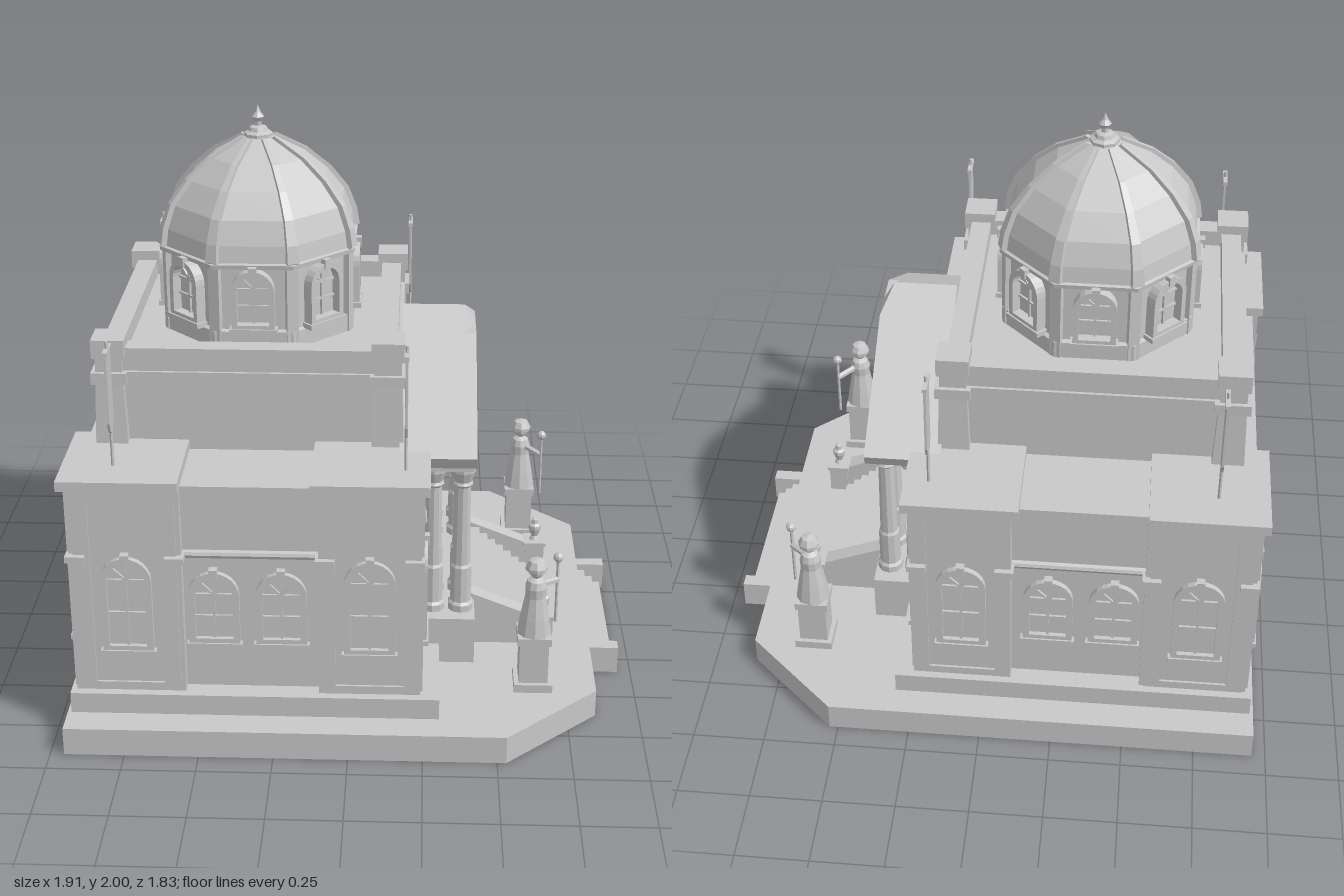
import * as THREE from 'three';

const stone = new THREE.MeshStandardMaterial({ color: 0xc8c8c8 });
stone.name = 'stone';

// faceted mesh helper
function add(parent, name, geo) {
  const g = geo.index ? geo.toNonIndexed() : geo;
  g.computeVertexNormals();
  const m = new THREE.Mesh(g, stone);
  m.name = name;
  parent.add(m);
  return m;
}
function box(parent, name, x0, x1, y0, y1, z0, z1) {
  const g = new THREE.BoxGeometry(x1 - x0, y1 - y0, z1 - z0);
  return add(parent, name, g.translate((x0 + x1) / 2, (y0 + y1) / 2, (z0 + z1) / 2));
}
const vecs = points => points.map(([x, y]) => new THREE.Vector2(x, y));
function poly(points, hole) {
  const s = new THREE.Shape(vecs(points));
  if (hole) s.holes.push(new THREE.Path(vecs(hole)));
  return s;
}
const extrude = (shape, depth) => new THREE.ExtrudeGeometry(shape, { depth, bevelEnabled: false, curveSegments: 6 });
function lathe(parent, name, pts, sides, x, y, z) {
  return add(parent, name, new THREE.LatheGeometry(vecs(pts), sides).translate(x, y, z));
}
// round-headed outline standing on y = 0
function archShape(w, h, base = 0, Kind = THREE.Shape) {
  const s = new Kind();
  s.moveTo(-w / 2, base);
  s.lineTo(w / 2, base);
  s.lineTo(w / 2, h - w / 2);
  s.absarc(0, h - w / 2, w / 2, 0, Math.PI, false);
  s.lineTo(-w / 2, base);
  return s;
}
// arched window facing +z, with surround, glazing bars, sill and keystone
function archWindow(name, w, h, depth = 0.02) {
  const g = new THREE.Group(), t = w * 0.13;
  g.name = name;
  const frame = archShape(w, h);
  frame.holes.push(archShape(w - 2 * t, h - t, t, THREE.Path));
  add(g, 'surround', extrude(frame, depth));
  add(g, 'pane', extrude(archShape(w - t, h - t / 2, t / 2), 0.004));
  const spring = h - w / 2, b = 0.004;
  box(g, 'mullion', -b, b, t, h - t, 0, 0.012);
  for (const y of [spring, (spring + t) / 2]) box(g, 'transom', -w / 2 + t, w / 2 - t, y - b, y + b, 0, 0.012);
  for (const s of [-1, 1]) {
    const bar = add(g, 'fanBar', new THREE.BoxGeometry(2 * b, w / 2 - t, 0.012).translate(0, (w / 2 - t) / 2, 0.006));
    bar.position.y = spring;
    bar.rotation.z = s * Math.PI / 4;
  }
  box(g, 'sill', -w / 2 - 0.008, w / 2 + 0.008, -0.012, 0.006, 0, depth + 0.006);
  box(g, 'keystone', -0.014, 0.014, h - t, h + 0.014, 0, depth + 0.006);
  return g;
}
function place(parent, obj, x, y, z, ry = 0) {
  obj.position.set(x, y, z);
  obj.rotation.y = ry;
  parent.add(obj);
}
// disc with a raised ring, facing +x
function medallion(parent, x, y, z) {
  const g = new THREE.Group();
  g.name = 'medallion';
  add(g, 'ring', new THREE.TorusGeometry(0.074, 0.005, 4, 20));
  add(g, 'disc', new THREE.CylinderGeometry(0.072, 0.072, 0.01, 20).rotateX(Math.PI / 2));
  add(g, 'relief', new THREE.ConeGeometry(0.028, 0.07, 5).scale(1, 1, 0.3).translate(0, -0.015, 0.005));
  place(parent, g, x, y, z, Math.PI / 2);
}

function buildTerrace(root) {
  // hollow underneath: thin skirt walls carrying a slab
  const plan = [[-0.953, -0.917], [0.53, -0.917], [0.85, -0.62], [0.85, 0.62], [0.53, 0.917], [-0.953, 0.917]];
  const inner = [[-0.943, -0.907], [0.526, -0.907], [0.84, -0.616], [0.84, 0.616], [0.526, 0.907], [-0.943, 0.907]];
  add(root, 'terraceSkirt', extrude(poly(plan, inner), 0.09).rotateX(-Math.PI / 2));
  add(root, 'terraceSlab', extrude(poly(plan), 0.01).rotateX(-Math.PI / 2).translate(0, 0.09, 0));
  for (let i = 0; i < 3; i++) box(root, 'terraceStep', 0.85, 0.94 - i * 0.03, i * 0.025, (i + 1) * 0.025, -0.29, 0.29);
  for (const s of [-1, 1]) box(root, 'stepWall', 0.85, 0.953, 0, 0.1, s * 0.31 - 0.025, s * 0.31 + 0.025);
  box(root, 'plinth', -0.94, 0.305, 0.1, 0.175, -0.815, 0.815);
}

function buildWings(root) {
  box(root, 'mainBody', -0.9, 0.22, 0.175, 0.93, -0.745, 0.745);
  box(root, 'backFrieze', -0.907, -0.88, 0.82, 0.93, -0.43, 0.43);
  add(root, 'backMoulding', new THREE.CylinderGeometry(0.015, 0.015, 0.86, 8).rotateX(Math.PI / 2).translate(-0.903, 0.68, 0));
  for (const s of [-1, 1]) {
    const zs = (a, b) => (s > 0 ? [a, b] : [-b, -a]);
    const ry = s > 0 ? 0 : Math.PI;
    box(root, 'sideFrieze', -0.56, -0.1, 0.82, 0.93, ...zs(0.7, 0.757));
    add(root, 'sideMoulding', new THREE.CylinderGeometry(0.015, 0.015, 0.46, 8).rotateZ(Math.PI / 2).translate(-0.33, 0.68, s * 0.748));
    for (const x of [-0.45, -0.225]) place(root, archWindow('sideWindow', 0.17, 0.27), x, 0.345, s * 0.745, ry);
    for (const [x0, x1, front] of [[-0.92, -0.55, false], [-0.1, 0.24, true]]) {
      const mid = (x0 + x1) / 2, xe = front ? 0.24 : -0.92, re = front ? Math.PI / 2 : -Math.PI / 2;
      box(root, 'cornerBlock', x0, x1, 0.175, 0.93, ...zs(0.43, 0.785));
      box(root, 'cornerCornice', front ? -0.125 : -0.945, front ? 0.265 : -0.55, 0.93, 0.965, ...zs(0.42, 0.812));
      // raised borders leave a sunken panel round each window
      const border = poly([[-0.17, 0.18], [0.17, 0.18], [0.17, 0.925], [-0.17, 0.925]],
        [[-0.115, 0.21], [-0.115, 0.88], [0.115, 0.88], [0.115, 0.21]]);
      place(root, add(root, 'panelBorder', extrude(border, 0.008)), mid, 0, s * 0.785, ry);
      place(root, add(root, 'panelBorder', extrude(border, 0.008)), xe, 0, s * 0.6, re);
      place(root, archWindow('wingWindow', 0.17, 0.35), mid, 0.335, s * 0.785, ry);
      place(root, archWindow('endWindow', 0.17, 0.35), xe, 0.335, s * 0.62, re);
      // corner moulding knuckles
      for (const x of [x0, x1]) {
        const cx = x + (x === x0 ? 0.022 : -0.022);
        box(root, 'knuckle', cx - 0.032, cx + 0.032, 0.67, 0.692, ...zs(0.74, 0.812));
        box(root, 'knuckleDrop', cx - 0.024, cx + 0.024, 0.65, 0.67, ...zs(0.75, 0.802));
      }
      box(root, 'endKnuckle', xe - 0.015, xe + 0.015, 0.67, 0.692, ...zs(0.43, 0.49));
      // banner on a pole
      const bx = front ? 0.183 : -0.775, bz = s * 0.68;
      add(root, 'bannerPole', new THREE.CylinderGeometry(0.006, 0.006, 0.44, 6).translate(bx, 1.18, bz));
      box(root, 'bannerArm', bx - 0.008, bx + 0.008, 1.365, 1.378, bz - 0.045, bz + 0.045);
      const cloth = poly([[-0.042, 1.37], [-0.042, 1.13], [-0.03, 1.1], [0, 1.08], [0.03, 1.1], [0.042, 1.13], [0.042, 1.37]]);
      place(root, add(root, 'banner', extrude(cloth, 0.008)), bx - 0.004, 0, bz, Math.PI / 2);
    }
    place(root, archWindow('backWindow', 0.17, 0.3), -0.9, 0.345, s * 0.2, -Math.PI / 2);
    medallion(root, 0.243, 0.8, s * 0.62);
  }
}

function buildUpperStorey(root) {
  box(root, 'upperStorey', -0.83, 0.145, 0.93, 1.24, -0.47, 0.47);
  box(root, 'upperCornice', -0.855, 0.165, 1.175, 1.22, -0.495, 0.495);
  for (const s of [-1, 1]) {
    box(root, 'parapet', -0.83, 0.15, 1.22, 1.3, s * 0.45 - 0.035, s * 0.45 + 0.035);
    const x = s > 0 ? 0.115 : -0.8;
    box(root, 'parapet', x - 0.035, x + 0.035, 1.22, 1.3, -0.48, 0.48);
    // battered corner pylons
    for (const t of [-1, 1]) {
      const px = s > 0 ? 0.12 : -0.805, pz = t * 0.455;
      add(root, 'pylon', new THREE.CylinderGeometry(0.066, 0.078, 0.25, 4, 1).rotateY(Math.PI / 4).translate(px, 1.055, pz));
      box(root, 'pylonBand', px - 0.06, px + 0.06, 1.18, 1.22, pz - 0.06, pz + 0.06);
      box(root, 'pylonNeck', px - 0.045, px + 0.045, 1.22, 1.28, pz - 0.045, pz + 0.045);
      box(root, 'pylonCap', px - 0.055, px + 0.055, 1.27, 1.335, pz - 0.055, pz + 0.055);
    }
  }
}

function buildDome(root) {
  const dome = new THREE.Group();
  dome.name = 'dome';
  dome.position.x = -0.337;
  root.add(dome);
  const k = 1 / Math.cos(Math.PI / 8), turn = Math.PI / 8;
  // half widths across the flats, with heights
  const shell = [[0.325, 1.54], [0.316, 1.6], [0.288, 1.68], [0.23, 1.76], [0.155, 1.83], [0.05, 1.893]];
  const ring = (name, pts) => { lathe(dome, name, pts.map(([r, y]) => [r * k, y]), 8, 0, 0, 0).rotation.y = turn; };
  ring('drum', [[0.31, 1.23], [0.31, 1.53]]);
  ring('drumBase', [[0.31, 1.24], [0.325, 1.24], [0.325, 1.3], [0.31, 1.305]]);
  ring('drumCornice', [[0.3, 1.52], [0.333, 1.525], [0.335, 1.54], [0.32, 1.545]]);
  ring('domeShell', [...shell, [0, 1.9]]);
  for (let i = 0; i < 8; i++) {
    const a = i * Math.PI / 4;
    place(dome, archWindow('drumWindow', 0.145, 0.21, 0.038), Math.sin(a) * 0.31, 1.312, Math.cos(a) * 0.31, a);
    // ribs follow the shell edges and narrow towards the top
    const edge = shell.map(([r, y]) => [r * k + 0.01, y + 0.006]);
    const inner = shell.map(([r, y]) => [r * k - 0.025, y - 0.015]).reverse();
    const geo = extrude(poly([...edge, ...inner]), 1).translate(0, 0, -0.5), p = geo.attributes.position;
    for (let j = 0; j < p.count; j++) p.setZ(j, p.getZ(j) * (0.014 + 0.08 * (1.9 - p.getY(j))));
    add(dome, 'rib', geo).rotation.y = a + turn;
    box(dome, 'drumPost', 0.32, 0.348, 1.24, 1.54, -0.02, 0.02).rotation.y = a + turn;
  }
  lathe(dome, 'finial', [[0.05, 1.885], [0.05, 1.905], [0.035, 1.912], [0.03, 1.925], [0.012, 1.93], [0.012, 1.945],
    [0.022, 1.96], [0.01, 1.975], [0, 2]], 8, 0, 0, 0);
}

function buildPortico(root) {
  box(root, 'porticoFloor', 0.2, 0.43, 0.1, 0.275, -0.45, 0.45);
  const column = [[0, 0], [0.046, 0], [0.046, 0.025], [0.038, 0.035], [0.038, 0.17], [0.032, 0.18], [0.028, 0.48],
    [0.036, 0.49], [0.03, 0.5], [0.045, 0.54], [0.045, 0.56], [0, 0.56]];
  for (const z of [-0.36, -0.22, 0.22, 0.36])
    for (const x of [0.28, 0.38]) lathe(root, 'column', column, 10, x, 0.275, z);
  box(root, 'entablature', 0.2, 0.415, 0.83, 0.92, -0.41, 0.41);
  for (let i = 0; i < 9; i++) box(root, 'bracket', 0.41, 0.425, 0.84, 0.9, -0.375 + i * 0.09, -0.345 + i * 0.09);
  // gabled roof, with an open raking cornice whose peak slopes forward
  const gable = [[-0.545, 0.908], [0.545, 0.908], [0.563, 0.95], [0.11, 1.222], [0, 1.288], [-0.11, 1.222], [-0.563, 0.95]];
  add(root, 'roof', extrude(poly(gable), 0.22).rotateY(Math.PI / 2).translate(0.16, 0, 0));
  const frame = poly(gable, [[-0.43, 0.922], [0, 1.18], [0.43, 0.922]]);
  const rake = extrude(frame, 0.04).rotateY(Math.PI / 2).translate(0.38, 0, 0), p = rake.attributes.position;
  for (let i = 0; i < p.count; i++) if (p.getY(i) > 1.28 && p.getX(i) > 0.4) p.setY(i, 1.222);
  add(root, 'rakingCornice', rake);
  medallion(root, 0.388, 1.01, 0);
  // double door
  const surround = archShape(0.29, 0.41);
  surround.holes.push(archShape(0.24, 0.385, 0.001, THREE.Path));
  place(root, add(root, 'doorSurround', extrude(surround, 0.03)), 0.22, 0.275, 0, Math.PI / 2);
  box(root, 'doorKeystone', 0.22, 0.26, 0.645, 0.695, -0.018, 0.018);
  for (const s of [-1, 1]) {
    box(root, 'doorLeaf', 0.22, 0.23, 0.275, 0.57, s * 0.06 - 0.056, s * 0.06 + 0.056);
    box(root, 'doorHandle', 0.23, 0.24, 0.4, 0.48, s * 0.018 - 0.004, s * 0.018 + 0.004);
  }
}

function buildStairs(root) {
  for (let i = 0; i < 7; i++) box(root, 'stair', 0.42, 0.65 - i * 0.031, 0.1 + i * 0.025, 0.125 + i * 0.025, -0.26, 0.26);
  for (const s of [-1, 1]) {
    const z = s * 0.28;
    const cheek = poly([[0.42, 0.1], [0.7, 0.1], [0.7, 0.19], [0.42, 0.3]]);
    add(root, 'stairCheek', extrude(cheek, 0.06).translate(0, 0, z - 0.03));
    box(root, 'urnPost', 0.645, 0.715, 0.1, 0.205, z - 0.037, z + 0.037);
    box(root, 'urnPostCap', 0.638, 0.722, 0.2, 0.215, z - 0.044, z + 0.044);
    lathe(root, 'urn', [[0.02, 0], [0.012, 0.015], [0.024, 0.045], [0.024, 0.06], [0.014, 0.068], [0.012, 0.085], [0, 0.09]], 8, 0.68, 0.215, z);
  }
}

function buildStatue(root, s) {
  const x = 0.63, z = s * 0.575, g = new THREE.Group();
  g.name = 'statue';
  root.add(g);
  box(g, 'pedestalBase', x - 0.066, x + 0.066, 0.1, 0.13, z - 0.066, z + 0.066);
  box(g, 'pedestal', x - 0.05, x + 0.05, 0.13, 0.285, z - 0.05, z + 0.05);
  box(g, 'pedestalCap', x - 0.058, x + 0.058, 0.28, 0.308, z - 0.058, z + 0.058);
  lathe(g, 'robe', [[0.06, 0], [0.051, 0.06], [0.036, 0.14], [0.038, 0.175], [0.03, 0.2], [0.012, 0.21], [0.012, 0.225]], 10, x, 0.308, z);
  add(g, 'head', new THREE.SphereGeometry(0.028, 8, 6).translate(x, 0.545, z));
  lathe(g, 'headdress', [[0.038, 0], [0.038, 0.012], [0.026, 0.035], [0, 0.042]], 8, x, 0.548, z);
  // raised arm holding a staff
  const hand = new THREE.Vector3(0.708, 0.47, s * 0.5);
  const arm = new THREE.LineCurve3(new THREE.Vector3(x, 0.485, z), hand);
  add(g, 'arm', new THREE.TubeGeometry(arm, 1, 0.012, 6));
  add(g, 'staff', new THREE.CylinderGeometry(0.006, 0.006, 0.25, 6).translate(hand.x, 0.43, hand.z));
  add(g, 'staffHead', new THREE.SphereGeometry(0.018, 8, 6).translate(hand.x, 0.555, hand.z));
}

export function createModel() {
  const root = new THREE.Group();
  root.name = 'domedHall';
  for (const build of [buildTerrace, buildWings, buildUpperStorey, buildDome, buildPortico, buildStairs]) build(root);
  for (const s of [-1, 1]) buildStatue(root, s);
  return root;
}
